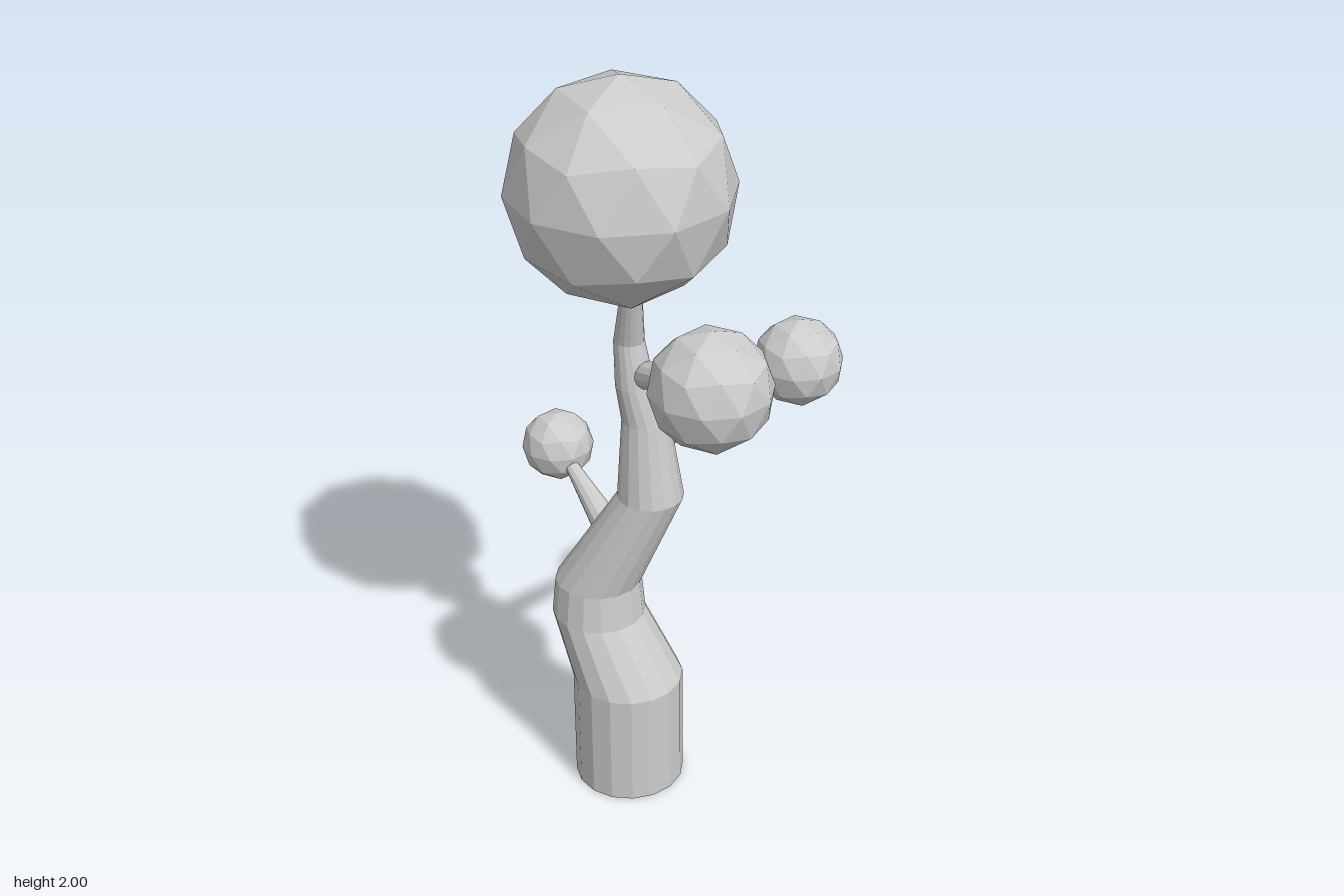
import * as THREE from 'three';

export function createModel() {
  const model = new THREE.Group();
  const grey = new THREE.MeshStandardMaterial({ color: 0xcccccc, flatShading: true });
  grey.name = 'plain grey';

  const add = (geometry, name) => {
    const mesh = new THREE.Mesh(geometry, grey);
    mesh.name = name;
    model.add(mesh);
    return mesh;
  };

  // Trunk: stacked rings of [y, centre x, centre z, radius]
  const rings = [
    [0, -0.165, -0.045, 0.147], [0.32, -0.165, -0.045, 0.147],
    [0.5, -0.212, -0.12, 0.124], [0.6, -0.21, -0.122, 0.114],
    [0.88, -0.105, -0.018, 0.086], [1.1, -0.112, -0.027, 0.061],
    [1.2, -0.135, -0.037, 0.05], [1.32, -0.145, -0.047, 0.039],
    [1.46, -0.16, 0, 0.028], [1.52, -0.16, 0.015, 0.02],
  ];
  const sides = 16;
  const trunk = new THREE.CylinderGeometry(1, 1, 1, sides, rings.length - 1);
  const p = trunk.attributes.position;
  for (let i = 0; i < p.count; i++) {
    const [y, x, z, r] = rings[Math.round((p.getY(i) + 0.5) * (rings.length - 1))];
    p.setXYZ(i, x + p.getX(i) * r, y, z + p.getZ(i) * r);
  }
  trunk.computeVertexNormals();
  add(trunk, 'trunk');

  // Foliage balls: faceted spheres turned so one corner points straight up
  const ball = (name, x, y, z, r) => {
    const g = new THREE.IcosahedronGeometry(r, 1);
    g.rotateZ(-Math.atan(2 / (1 + Math.sqrt(5))));
    add(g, name).position.set(x, y, z);
  };
  ball('crownFoliage', -0.15, 1.715, -0.065, 0.285);
  ball('leftFoliage', 0.308, 1.18, 0.008, 0.117);
  ball('frontFoliage', -0.137, 1.383, 0.372, 0.15);
  ball('backFoliage', -0.182, 0.837, -0.43, 0.097);

  // Branches: tapered rods from the trunk into each ball
  const branch = (name, from, to, r0, r1) => {
    const a = new THREE.Vector3(...from), b = new THREE.Vector3(...to);
    const dir = b.clone().sub(a);
    const mesh = add(new THREE.CylinderGeometry(r1, r0, dir.length(), 12), name);
    mesh.position.copy(a).add(b).multiplyScalar(0.5);
    mesh.quaternion.setFromUnitVectors(new THREE.Vector3(0, 1, 0), dir.normalize());
  };
  branch('leftBranch', [-0.06, 1.04, -0.028], [0.25, 1.16, -0.018], 0.035, 0.015);
  branch('frontBranch', [-0.12, 1.238, 0], [-0.137, 1.35, 0.3], 0.036, 0.015);
  branch('backBranch', [-0.165, 0.715, -0.13], [-0.18, 0.82, -0.38], 0.042, 0.015);

  return model;
}
